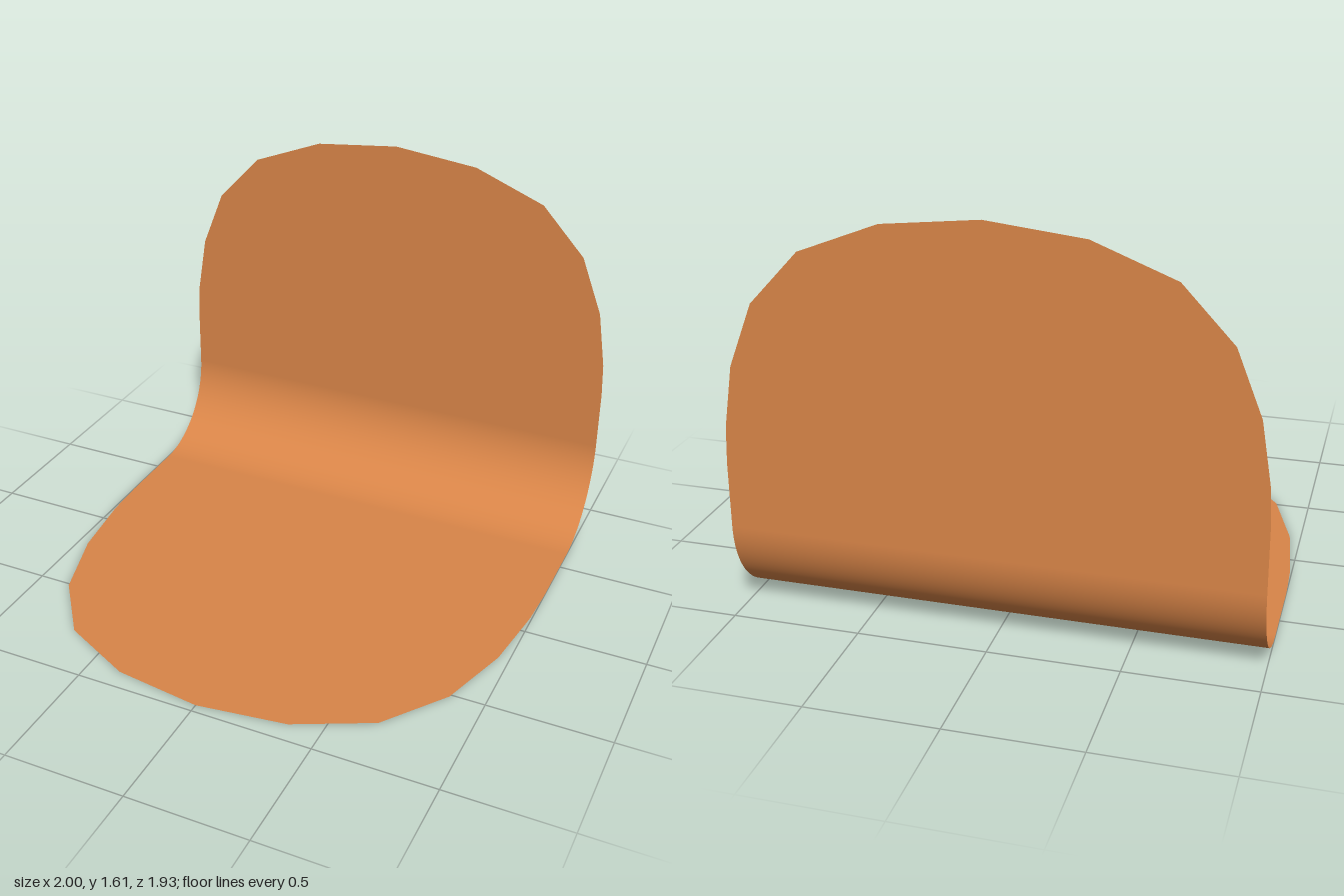
import * as THREE from 'three';

export function createModel() {
  const half = 0.965, height = 1.61, r = 0.36, steps = 24;

  // Rounded end shared by seat and back: [half width, distance from the tip]
  const tip = [[0, 0], [0.365, 0.05], [0.67, 0.2], [0.86, 0.455], [0.955, 0.76], [0.993, 1.06], [1, 1.24]];

  // Cross-section rows, from the seat's front tip up to the top of the back
  const rows = [];
  for (const [w, d] of tip) rows.push({ w, y: 0, z: half - d, ny: 1, nz: 0 });
  for (let i = 0; i <= steps; i++) {
    const a = (i / steps) * Math.PI / 2, s = Math.sin(a), c = Math.cos(a);
    rows.push({ w: 1, y: r * (1 - c), z: -half + r * (1 - s), ny: c, nz: s });
  }
  for (const [w, d] of [...tip].reverse()) rows.push({ w, y: height - d * 0.8, z: -half, ny: 0, nz: 1 });

  // Loft the rows into one thin bent sheet
  const position = [], normal = [], index = [];
  rows.forEach(({ w, y, z, ny, nz }, i) => {
    position.push(-w, y, z, w, y, z);
    normal.push(0, ny, nz, 0, ny, nz);
    if (i === rows.length - 1) return;
    const a = i * 2;
    if (w > 0) index.push(a, a + 1, a + 3);
    if (rows[i + 1].w > 0) index.push(a, a + 3, a + 2);
    else index.push(a, a + 1, a + 2);
  });
  // The top tip is a single point, so drop its repeated closing triangle
  index.length -= 3;

  const geometry = new THREE.BufferGeometry();
  geometry.setAttribute('position', new THREE.Float32BufferAttribute(position, 3));
  geometry.setAttribute('normal', new THREE.Float32BufferAttribute(normal, 3));
  geometry.setIndex(index);

  const shell = new THREE.Mesh(geometry, new THREE.MeshStandardMaterial({ color: 0xd98548, side: THREE.DoubleSide }));
  shell.name = 'seatShell';

  const model = new THREE.Group();
  model.name = 'bentSeat';
  model.add(shell);
  return model;
}
